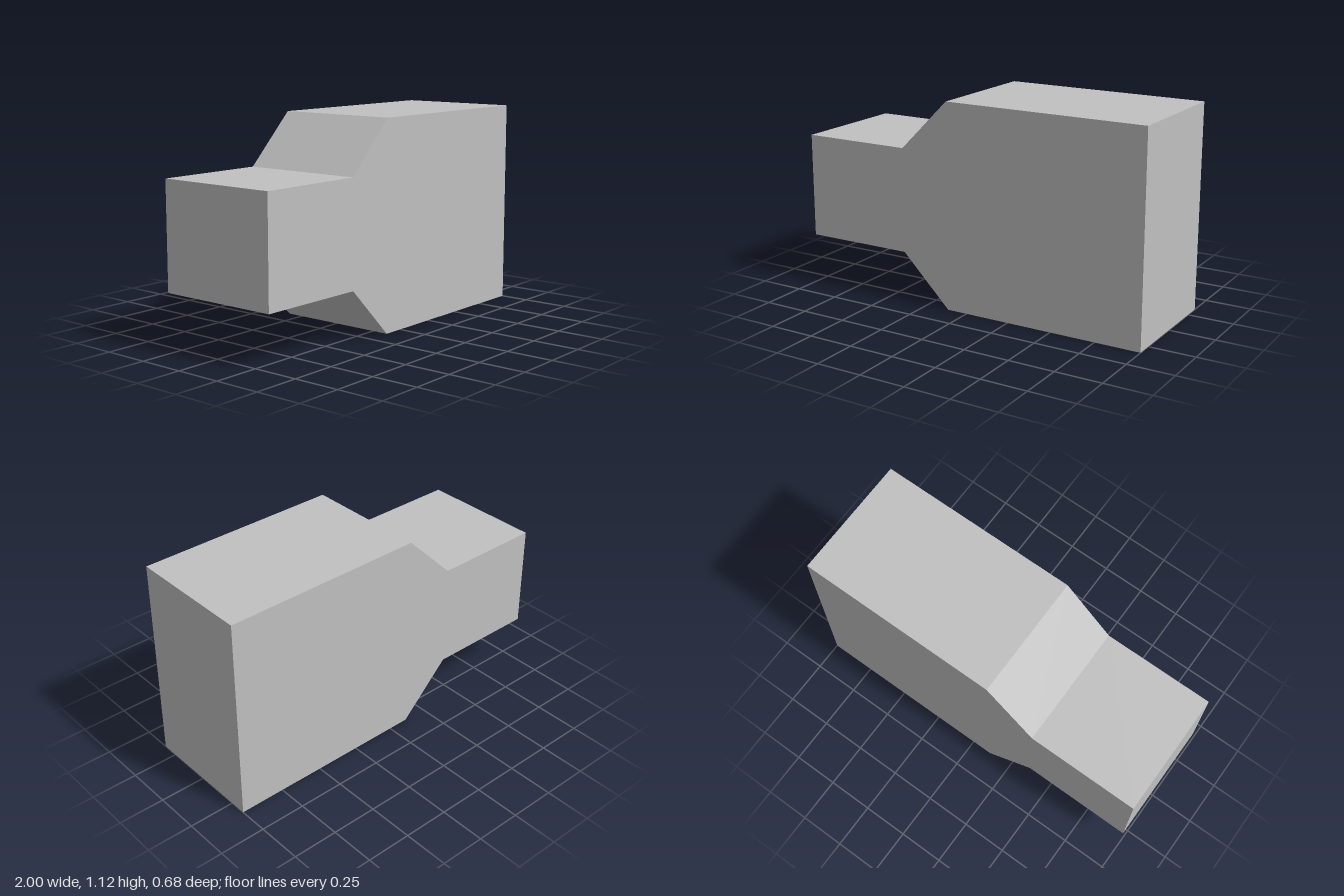
import * as THREE from 'three';

export function createModel() {
  const group = new THREE.Group();
  const grey = new THREE.MeshStandardMaterial({ color: 0xc0c0c0 });
  grey.name = 'light grey';

  const height = 1.12, depth = 0.68;
  const neckEnd = -0.39, bodyStart = -0.115, neckBottom = 0.275;

  // Lower edge of the profile, mirrored about mid-height for the upper edge
  const lower = [[-1, neckBottom], [neckEnd, neckBottom], [bodyStart, 0], [1, 0]];
  const upper = lower.map(([x, y]) => [x, height - y]).reverse();
  const profile = new THREE.Shape([...lower, ...upper].map(([x, y]) => new THREE.Vector2(x, y)));

  // One solid block: narrow neck, chamfered shoulders and wide body
  const geometry = new THREE.ExtrudeGeometry(profile, { depth, bevelEnabled: false });
  geometry.translate(0, 0, -depth / 2);
  const block = new THREE.Mesh(geometry, grey);
  block.name = 'steppedBlock';
  group.add(block);

  return group;
}
